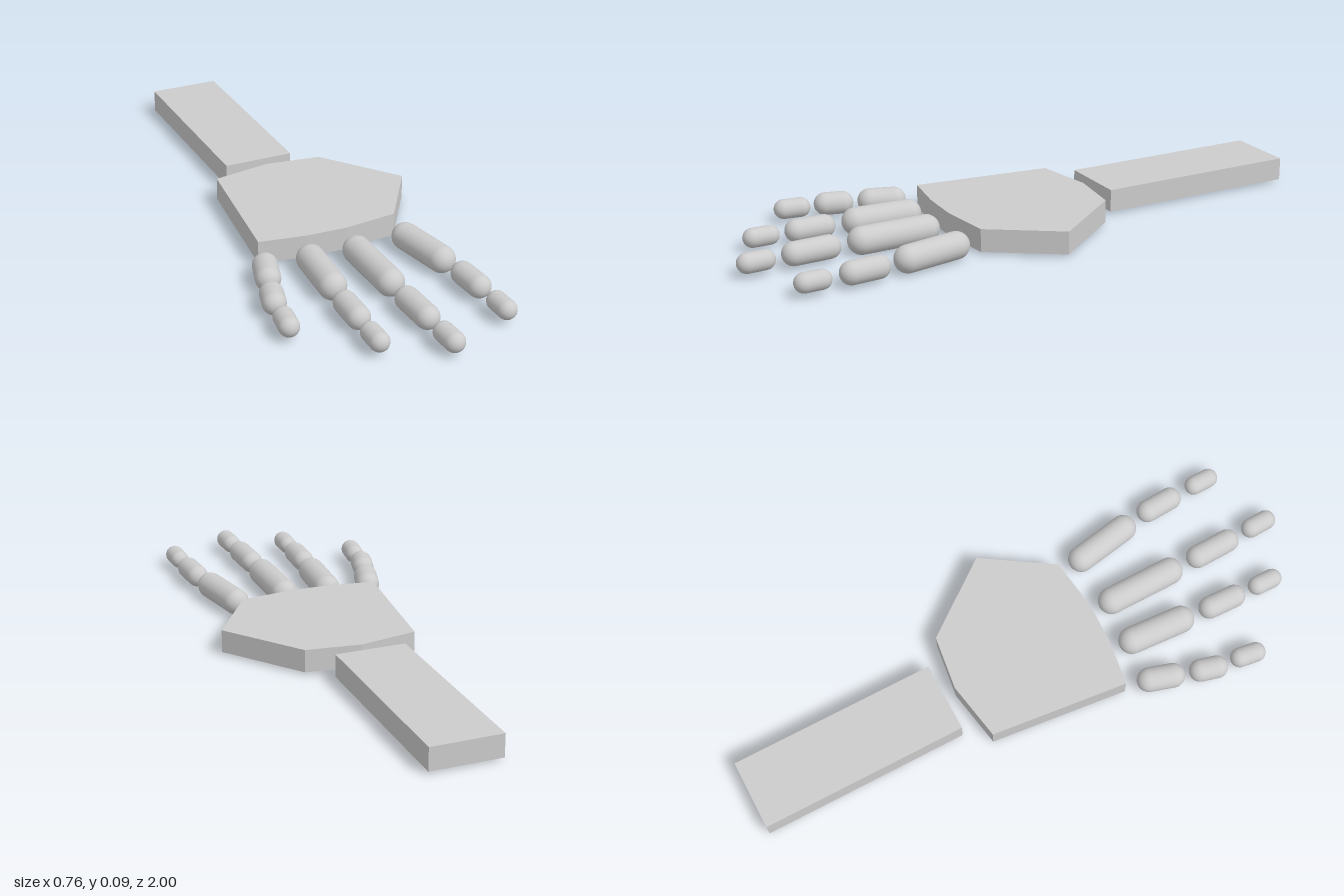
import * as THREE from 'three';

const material = new THREE.MeshStandardMaterial({ color: 0xcccccc });
const BOTTOM = 0.009, THICK = 0.077, MID_Y = 0.047;

// Palm outline as [x, z]
const PALM = [
  [-0.2, -0.22], [0, -0.255], [0.185, -0.23], [0.378, 0.023],
  [0.225, 0.255], [0.045, 0.277], [-0.095, 0.272], [-0.252, 0.247],
];

// Each bone: start x, start z, end x, end z (cap centres), radius
const FINGERS = {
  indexFinger: [
    [0.222, 0.342, 0.254, 0.522, 0.045],
    [0.27, 0.628, 0.275, 0.719, 0.038],
    [0.279, 0.817, 0.28, 0.874, 0.032],
  ],
  middleFinger: [
    [0.04, 0.358, 0.041, 0.582, 0.046],
    [0.042, 0.693, 0.045, 0.812, 0.039],
    [0.048, 0.907, 0.05, 0.967, 0.033],
  ],
  ringFinger: [
    [-0.117, 0.348, -0.129, 0.528, 0.046],
    [-0.138, 0.636, -0.141, 0.729, 0.038],
    [-0.145, 0.818, -0.146, 0.875, 0.032],
  ],
  littleFinger: [
    [-0.265, 0.329, -0.289, 0.406, 0.041],
    [-0.317, 0.495, -0.332, 0.549, 0.038],
    [-0.34, 0.634, -0.348, 0.69, 0.033],
  ],
};
const BONE_NAMES = ['proximalBone', 'middleBone', 'fingertipBone'];

// Rounded bone lying flat between two points
function makeBone([x0, z0, x1, z1, radius]) {
  const start = new THREE.Vector3(x0, MID_Y, z0);
  const end = new THREE.Vector3(x1, MID_Y, z1);
  const axis = end.clone().sub(start);
  const bone = new THREE.Mesh(new THREE.CapsuleGeometry(radius, axis.length(), 10, 32), material);
  bone.position.copy(start).lerp(end, 0.5);
  bone.quaternion.setFromUnitVectors(new THREE.Vector3(0, 1, 0), axis.normalize());
  return bone;
}

export function createModel() {
  const hand = new THREE.Group();
  hand.name = 'hand';

  // Flat forearm block
  const forearm = new THREE.Mesh(new THREE.BoxGeometry(0.24, THICK, 0.702), material);
  forearm.name = 'forearm';
  forearm.position.set(-0.012, BOTTOM + THICK / 2, -0.649);
  hand.add(forearm);

  // Palm slab
  const outline = new THREE.Shape(PALM.map(([x, z]) => new THREE.Vector2(x, -z)));
  const palmGeometry = new THREE.ExtrudeGeometry(outline, { depth: THICK, bevelEnabled: false });
  palmGeometry.rotateX(-Math.PI / 2);
  const palm = new THREE.Mesh(palmGeometry, material);
  palm.name = 'palm';
  palm.position.y = BOTTOM;
  hand.add(palm);

  // Four fingers of three bones each
  for (const [name, bones] of Object.entries(FINGERS)) {
    const finger = new THREE.Group();
    finger.name = name;
    bones.forEach((spec, i) => {
      const bone = makeBone(spec);
      bone.name = BONE_NAMES[i];
      finger.add(bone);
    });
    hand.add(finger);
  }
  return hand;
}
